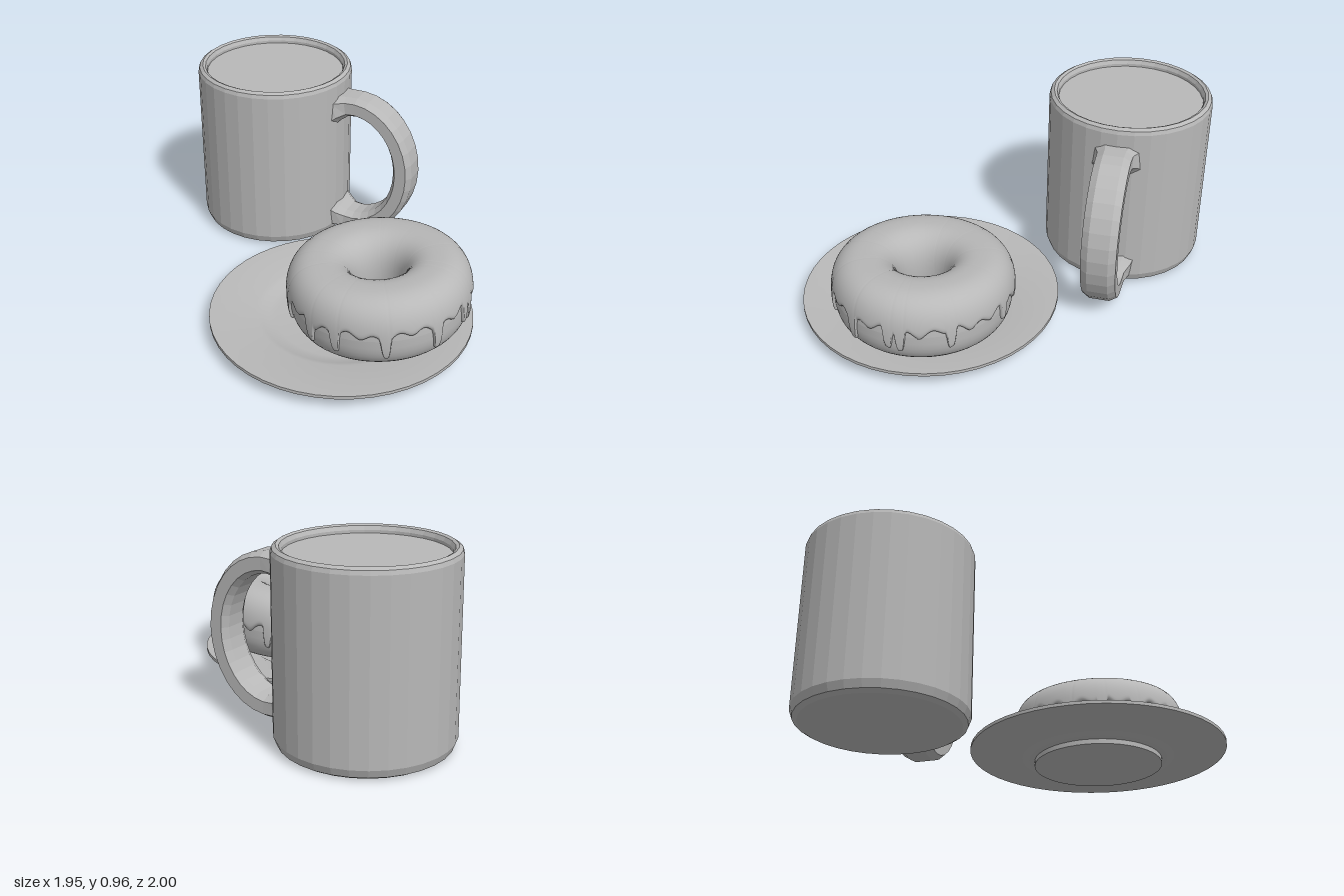
import * as THREE from 'three';
import { toCreasedNormals } from 'three/addons/utils/BufferGeometryUtils.js';

// Grid surface closed in u; point(u, v) takes 0..1 values and returns [x, y, z].
function gridSurface(nu, nv, point) {
  const pos = [], index = [];
  for (let j = 0; j <= nv; j++)
    for (let i = 0; i < nu; i++) pos.push(...point(i / nu, j / nv));
  for (let j = 0; j < nv; j++)
    for (let i = 0; i < nu; i++) {
      const k = (i + 1) % nu;
      const a = j * nu + i, b = j * nu + k, c = a + nu, d = b + nu;
      index.push(a, b, d, a, d, c);
    }
  const g = new THREE.BufferGeometry();
  g.setAttribute('position', new THREE.Float32BufferAttribute(pos, 3));
  g.setIndex(index);
  g.computeVertexNormals();
  return g;
}

// Facet a geometry so every face is flat.
function faceted(geometry) {
  const g = geometry.toNonIndexed();
  g.computeVertexNormals();
  return g;
}

const lathe = (points, sides) =>
  new THREE.LatheGeometry(points.map(([x, y]) => new THREE.Vector2(x, y)), sides);

// Rounded-square ring section: phi = 0 is outermost, PI/2 the top.
const softPow = (v, e) => Math.sign(v) * Math.abs(v) ** e;
function ringPoint(theta, phi, offset) {
  const r = 0.295 + (0.157 + offset) * softPow(Math.cos(phi), 0.8);
  const y = (0.185 + offset) * softPow(Math.sin(phi), 0.8);
  return [r * Math.sin(theta), y, r * Math.cos(theta)];
}

// Drips as [degrees round from the front, length].
const DRIPS = [
  [-54, 0.5], [-23, 0.42], [-4, 0.42], [27, 0.45], [60, 0.5], [86, 0.42],
  [94, 0.45], [125, 0.4], [166, 0.28], [198, 0.45], [232, 0.38], [262, 0.48], [284, 0.34],
];

// Lower edge of the icing as a section angle.
function icingEdge(theta) {
  const deg = THREE.MathUtils.radToDeg(theta);
  let edge = 0.07 + 0.06 * Math.sin(theta * 23) + 0.035 * Math.sin(theta * 9 + 1);
  for (const [at, length] of DRIPS) {
    const d = Math.abs(((deg - at + 540) % 360) - 180);
    edge -= length * Math.exp(-((d / 2.7) ** 4));
  }
  return Math.max(edge, -0.5);
}

export function createModel() {
  const root = new THREE.Group();
  root.name = 'mugAndDoughnut';
  const clay = new THREE.MeshStandardMaterial({ color: 0xb8b8b8 });
  clay.name = 'grey';

  const add = (parent, name, geometry) => {
    const mesh = new THREE.Mesh(geometry, clay);
    mesh.name = name;
    parent.add(mesh);
    return mesh;
  };

  // Mug
  const mug = new THREE.Group();
  mug.name = 'mug';
  mug.position.set(-0.54, 0, -0.565);
  root.add(mug);
  add(mug, 'mugBody', faceted(lathe([
    [0, 0], [0.395, 0], [0.42, 0.015], [0.435, 0.055],
    [0.435, 0.925], [0.428, 0.945], [0.41, 0.957], [0.395, 0.95],
    [0.385, 0.93], [0.385, 0.905],
  ], 32)));
  add(mug, 'drink', faceted(lathe([[0.386, 0.915], [0, 0.915]], 32)));

  // Handle: eight-sided loop, flaring where it meets the mug
  const handle = add(mug, 'mugHandle', faceted(gridSurface(8, 22, (u, v) => {
    const t = THREE.MathUtils.degToRad(120 - 240 * v);
    const s = (u + 1 / 16) * Math.PI * 2;
    const flare = 1 + 0.5 * THREE.MathUtils.smoothstep(Math.abs(t), 1.65, 2.1);
    const out = 0.058 * flare * softPow(Math.cos(s), 0.6);
    const side = 0.094 * flare * softPow(Math.sin(s), 0.6);
    return [(0.3 + out) * Math.cos(t), (0.365 + out) * Math.sin(t), side];
  })));
  handle.position.set(0.52, 0.44, 0);

  // Plate
  const plate = add(root, 'plate', toCreasedNormals(lathe([
    [0, 0], [0.335, 0], [0.335, 0.025], [0.38, 0.035], [0.44, 0.057], [0.675, 0.073],
    [0.675, 0.09], [0.44, 0.077], [0.41, 0.068], [0.37, 0.047], [0.33, 0.04], [0, 0.04],
  ], 48), 0.6));
  plate.position.set(0.295, 0, 0.32);

  // Doughnut, tilted against the plate rim
  const doughnut = new THREE.Group();
  doughnut.name = 'doughnut';
  doughnut.position.set(0.49, 0.262, 0.29);
  doughnut.rotation.z = 0.066;
  root.add(doughnut);
  add(doughnut, 'dough', gridSurface(64, 40, (u, v) =>
    ringPoint(u * Math.PI * 2, v * Math.PI * 2, 0)));

  // Icing: rises from the dough with a rounded lip along the dripping edge
  add(doughnut, 'icing', gridSurface(540, 30, (u, v) => {
    const theta = u * Math.PI * 2;
    const start = icingEdge(theta);
    const phi = start + (Math.PI + 0.5 - start) * v ** 1.6;
    const lip = Math.min(1, Math.min(phi - start, Math.PI + 0.5 - phi) / 0.1);
    const thickness = 0.017 * Math.sqrt(Math.max(0, 1 - (1 - lip) ** 2));
    return ringPoint(theta, phi, thickness - 0.003);
  }));

  return root;
}
